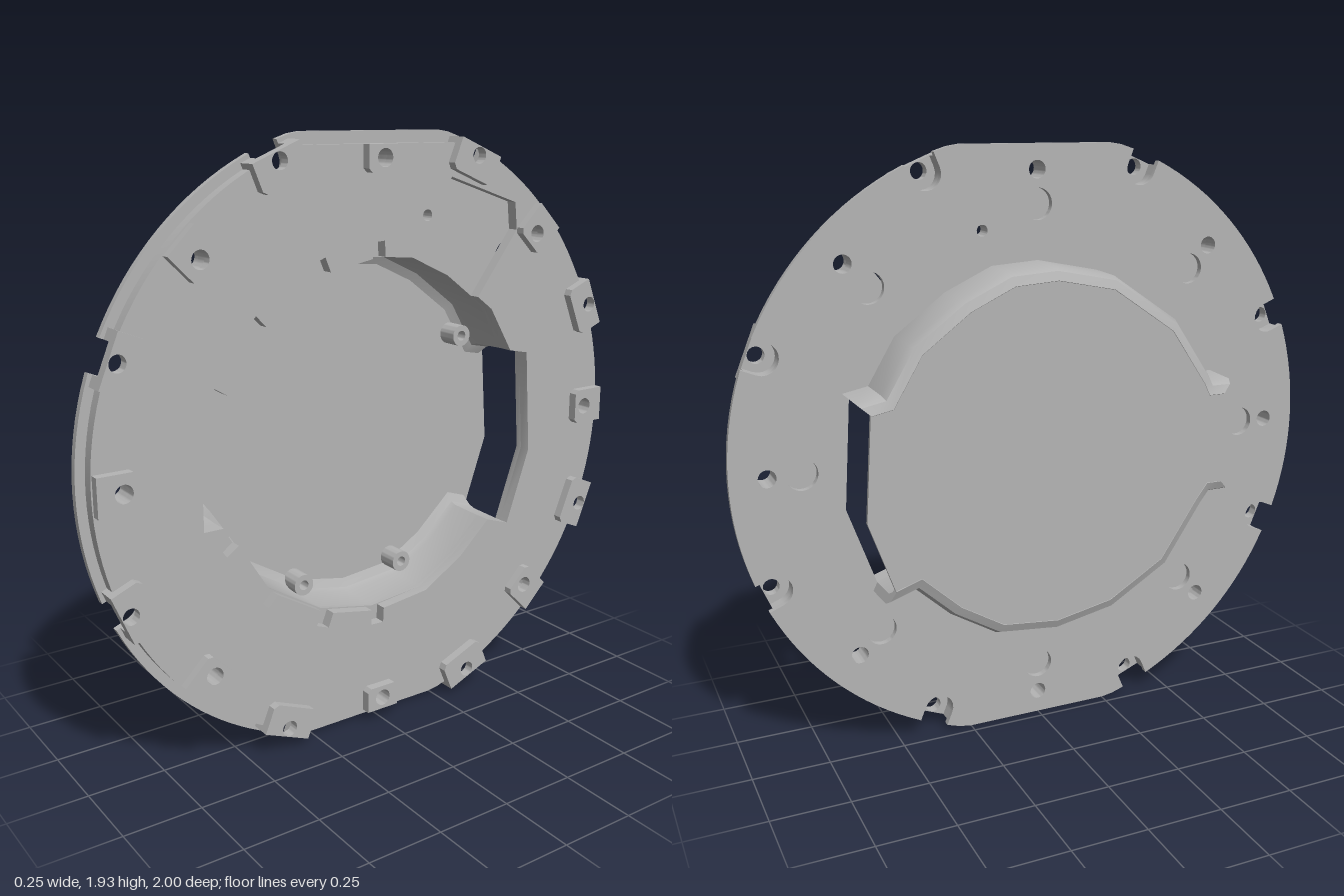
import * as THREE from 'three';
import { toCreasedNormals } from 'three/addons/utils/BufferGeometryUtils.js';

const V = (x, y) => new THREE.Vector2(x, y);
const toPoints = list => list.map(([x, y]) => V(x, y));

// Housing outline in plate coordinates, counter-clockwise, in two wall runs with an opening at each side
const upperRun = toPoints([[.625, .22], [.55, .235], [.46, .385], [.3, .505], [.15, .575], [0, .585],
  [-.2, .545], [-.42, .395], [-.55, .205], [-.565, .175], [-.63, .175]]);
const lowerRun = toPoints([[-.63, -.175], [-.565, -.175], [-.53, -.22], [-.4, -.415], [-.2, -.535],
  [0, -.575], [.2, -.555], [.35, -.465], [.47, -.355], [.56, -.385]]);
const outline = [...upperRun, ...lowerRun, V(.65, -.13)];

// Mitred outward direction at each outline point
const outward = outline.map((p, i) => {
  const n = outline.length, a = outline[(i + n - 1) % n], b = outline[(i + 1) % n];
  const d1 = p.clone().sub(a).normalize(), d2 = b.clone().sub(p).normalize();
  const n1 = V(d1.y, -d1.x), n2 = V(d2.y, -d2.x);
  return n1.clone().add(n2).divideScalar(Math.max(.6, 1 + n1.dot(n2)));
});
const offset = (i, d) => outline[i].clone().addScaledVector(outward[i], d);

// Round disc with flat top and bottom and eight U slots in the edge
function discShape(R, flat) {
  const pts = [];
  for (let k = 0; k < 8; k++) {
    const a = (22.5 + 45 * k) * Math.PI / 180;
    const at = (r, t) => V(r * Math.cos(a) - t * Math.sin(a), r * Math.sin(a) + t * Math.cos(a));
    pts.push(at(R - .001, -.05));
    for (let j = 0; j <= 10; j++) {
      const f = (j / 10 - .5) * Math.PI;
      pts.push(at(.95 - .05 * Math.cos(f), .05 * Math.sin(f)));
    }
    pts.push(at(R - .001, .05));
    for (let j = 1; j < 16; j++) {
      const b = a + .055 + (Math.PI / 4 - .11) * j / 16;
      pts.push(V(R * Math.cos(b), THREE.MathUtils.clamp(R * Math.sin(b), -flat, flat)));
    }
  }
  return new THREE.Shape(pts);
}

function circle(x, y, r) {
  return new THREE.Path().absarc(x, y, r, 0, Math.PI * 2, true);
}

function extrude(shape, from, to) {
  const g = new THREE.ExtrudeGeometry(shape, { depth: to - from, bevelEnabled: false, curveSegments: 20 });
  return toCreasedNormals(g.translate(0, 0, from), .5);
}

// Sweep of the wall section along part of the outline, with capped ends
function wallGeometry(start, count) {
  const section = [[.04, .022], [-.09, .018], [-.118, .006], [-.13, -.022], [-.115, -.04], [-.1, -.012], [-.08, -.004], [.04, 0]];
  const m = section.length, pos = [], index = [];
  for (let i = 0; i < count; i++) {
    for (const [z, d] of section) {
      const p = offset(start + i, d);
      pos.push(p.x, p.y, z);
    }
  }
  for (let i = 0; i < count - 1; i++) {
    for (let j = 0; j < m; j++) {
      const a = i * m + j, b = i * m + (j + 1) % m;
      index.push(a, b, a + m, b, b + m, a + m);
    }
  }
  const last = (count - 1) * m;
  const caps = THREE.ShapeUtils.triangulateShape(section.map(([z, d]) => V(z, d)), []);
  for (const [a, b, c] of caps) index.push(a, b, c, last + a, last + c, last + b);
  const g = new THREE.BufferGeometry();
  g.setAttribute('position', new THREE.Float32BufferAttribute(pos, 3));
  g.setIndex(index);
  // Face the sweep outward
  for (let i = 0; i < (count - 1) * m * 6; i += 3) {
    [index[i + 1], index[i + 2]] = [index[i + 2], index[i + 1]];
  }
  g.setIndex(index);
  return toCreasedNormals(g, .6);
}

export function createModel() {
  const grey = new THREE.MeshStandardMaterial({ color: 0xb4b4b4, side: THREE.DoubleSide });
  const model = new THREE.Group();
  model.name = 'roundCover';
  const body = new THREE.Group();
  body.name = 'coverBody';
  body.rotation.y = Math.PI / 2;
  body.position.y = .965;
  model.add(body);

  const add = (name, geometry, angle = 0) => {
    const mesh = new THREE.Mesh(geometry, grey);
    mesh.name = name;
    mesh.rotation.z = angle;
    body.add(mesh);
    return mesh;
  };

  // Thin outer flange with screw holes and blind round pockets on its back
  const flange = discShape(1, .963);
  flange.holes.push(new THREE.Path(outline), circle(.185, .705, .018));
  // Thicker inner plate with the housing opening, small rim notches and a wedge recess
  const plate = discShape(.97, .925);
  const notched = [5, 6, 7, 8, 13, 14, 15, 16];
  const opening = [];
  outline.forEach((p, i) => {
    if (i === 3) {
      opening.push(...toPoints([[.4, .43], [.56, .64], [.55, .73], [.46, .76], [.28, .82]]));
    } else if (notched.includes(i)) {
      const n = outward[i].clone().normalize(), t = V(-n.y, n.x);
      for (const [s, d] of [[-.024, 0], [-.024, .05], [.024, .05], [.024, 0]]) {
        opening.push(p.clone().addScaledVector(t, s).addScaledVector(n, d));
      }
    } else opening.push(p);
  });
  plate.holes.push(new THREE.Path(opening), circle(.185, .705, .018));
  for (let k = 0; k < 8; k++) {
    const c = Math.cos(k * Math.PI / 4), s = Math.sin(k * Math.PI / 4);
    flange.holes.push(circle(.885 * c, .885 * s, .028), circle(.78 * c, .78 * s, .05));
    plate.holes.push(circle(.885 * c, .885 * s, .028));
  }
  add('flange', extrude(flange, .035, .057));
  add('plate', extrude(plate, .057, .095));

  // Housing walls and floor
  add('upperWall', wallGeometry(0, upperRun.length));
  add('lowerWall', wallGeometry(upperRun.length, lowerRun.length));
  add('housingFloor', extrude(new THREE.Shape(outline.map((p, i) => offset(i, -.02))), -.129, -.116));

  // Screw blocks on the straight and diagonal axes
  for (let k = 0; k < 8; k++) {
    const outer = k % 4 === 2 ? .925 : .965;
    const block = new THREE.Shape(toPoints([[.855, -.06], [outer, -.06], [outer, .06], [.855, .06], [.842, .047], [.842, -.047]]));
    block.holes.push(circle(.885, 0, .028));
    add('screwBlock', extrude(block, .09, .125), k * Math.PI / 4);
  }

  // Edge blocks: a U-shaped collar under a drilled cap
  const collar = new THREE.Shape(toPoints([[.985, .05], [.985, .085], [.9, .085], [.885, .07], [.885, -.07], [.9, -.085], [.985, -.085], [.985, -.05], [.95, -.05]]));
  collar.absarc(.95, 0, .05, -Math.PI / 2, Math.PI / 2, true);
  const cap = new THREE.Shape(toPoints([[.885, -.07], [.9, -.085], [.985, -.085], [.985, .085], [.9, .085], [.885, .07]]));
  cap.holes.push(circle(.957, 0, .026));
  const collarGeometry = extrude(collar, .05, .09), capGeometry = extrude(cap, .09, .125);
  for (let k = 0; k < 8; k++) {
    const a = (22.5 + 45 * k) * Math.PI / 180;
    add('edgeCollar', collarGeometry, a);
    add('edgeCap', capGeometry, a);
  }

  // Hollow screw posts standing on the floor near the wall
  const ring = new THREE.Shape().absarc(0, 0, .036, 0, Math.PI * 2);
  ring.holes.push(circle(0, 0, .017));
  const postGeometry = extrude(ring, -.12, -.045);
  for (const [x, y] of [[-.2, .49], [.45, .275], [-.2, -.49], [.2, -.495]]) {
    add('screwPost', postGeometry).position.set(x, y, 0);
  }
  return model;
}
